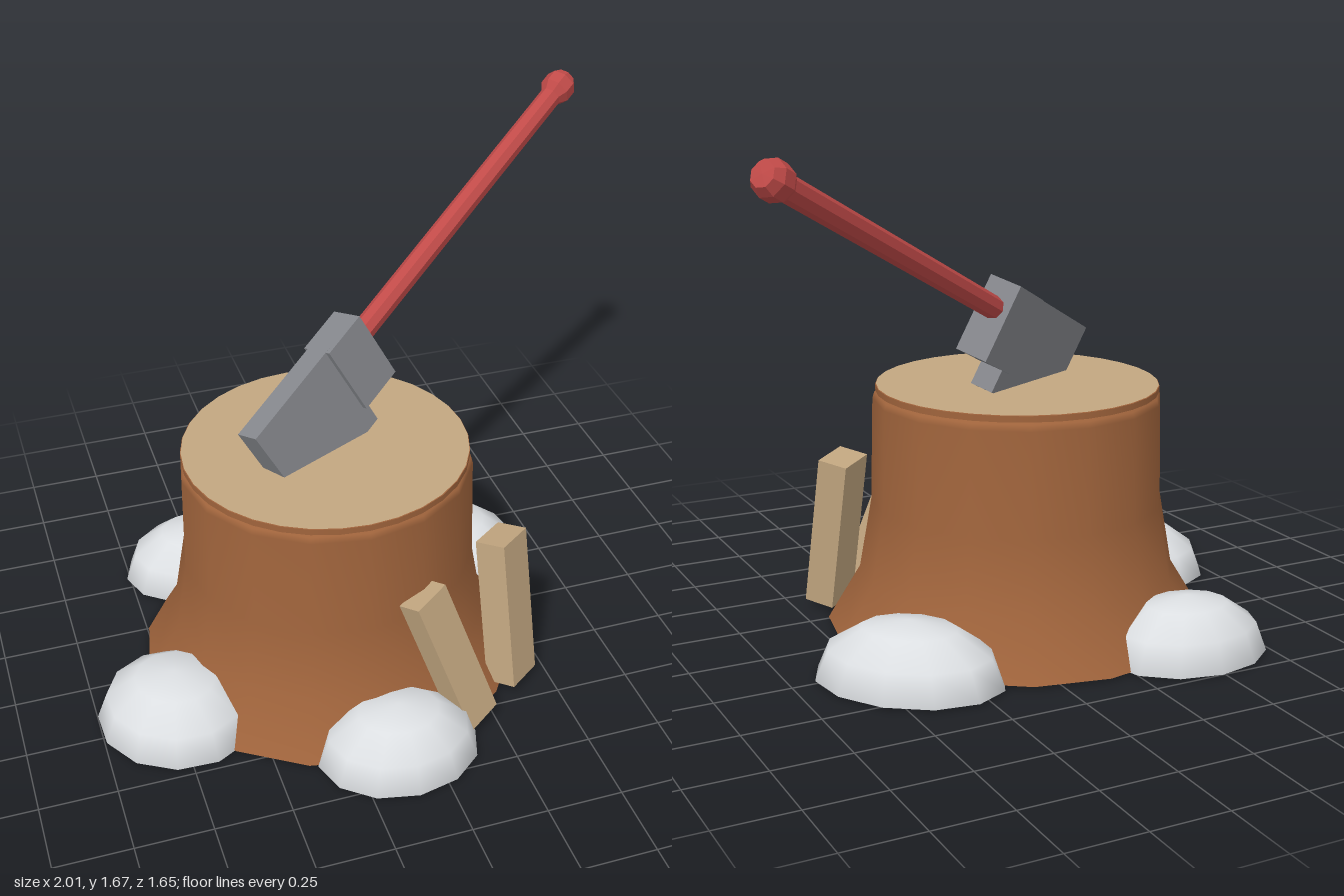
import * as THREE from 'three';

const material = (name, color) => {
  const m = new THREE.MeshStandardMaterial({ color });
  m.name = name;
  return m;
};

// Facet a geometry by giving every face its own normals
const faceted = (geometry) => {
  const g = geometry.toNonIndexed();
  g.computeVertexNormals();
  return g;
};

const profile = (points) => points.map(([r, y]) => new THREE.Vector2(r, y));

export function createModel() {
  const model = new THREE.Group();
  model.name = 'choppingStump';

  const bark = material('bark brown', 0xa0643c);
  const wood = material('cut wood tan', 0xc2a680);
  const stone = material('stone white', 0xdcdfe2);
  const steel = material('steel grey', 0x85878c);
  const red = material('handle red', 0xc04a48);

  const add = (parent, name, geometry, mat, x = 0, y = 0, z = 0) => {
    const mesh = new THREE.Mesh(geometry, mat);
    mesh.name = name;
    mesh.position.set(x, y, z);
    parent.add(mesh);
    return mesh;
  };

  // Stump: flared trunk, underside, thin rim and cut top
  const stump = new THREE.Group();
  stump.name = 'stump';
  stump.position.x = -0.155;
  model.add(stump);
  const trunk = [[0.638, 0.022], [0.53, 0.2], [0.488, 0.44], [0.48, 0.785], [0.474, 0.805], [0.45, 0.822]];
  add(stump, 'trunk', new THREE.LatheGeometry(profile(trunk), 16), bark);
  add(stump, 'underside', new THREE.CircleGeometry(0.638, 16).rotateX(Math.PI / 2), bark, 0, 0.022);
  add(stump, 'rim', new THREE.CylinderGeometry(0.47, 0.47, 0.02, 32), bark, 0, 0.823);
  add(stump, 'cutTop', new THREE.CircleGeometry(0.468, 32).rotateX(-Math.PI / 2), wood, 0, 0.835);

  // Half-buried stones: x, z, half length, half width, turn
  const dome = new THREE.SphereGeometry(1, 12, 3, 0, Math.PI * 2, 0, Math.PI / 2);
  const base = new THREE.CircleGeometry(1, 12).rotateX(Math.PI / 2);
  const stones = [
    [-0.485, -0.545, 0.278, 0.217, 0],
    [0.4, -0.352, 0.31, 0.233, -Math.PI / 4],
    [-0.745, 0.225, 0.27, 0.25, -Math.PI / 4],
    [-0.105, 0.6, 0.268, 0.22, 0],
  ];
  for (const [x, z, a, b, turn] of stones) {
    const rock = new THREE.Group();
    rock.name = 'stone';
    add(rock, 'stoneDome', dome, stone);
    add(rock, 'stoneBase', base, stone);
    rock.position.set(x, 0.02, z);
    rock.rotation.y = turn;
    rock.scale.set(a, 0.193, b);
    model.add(rock);
  }

  // Split logs leaning on the stump: top centre, bottom centre, side direction, width, depth
  const logs = [
    [[0.015, 0.525, 0.475], [0.18, 0.04, 0.55], [0.87, 0, -0.45], 0.135, 0.085],
    [[0.35, 0.56, 0.3], [0.372, 0.04, 0.395], [0.77, 0, -0.64], 0.15, 0.105],
  ];
  for (const [top, bottom, side, width, depth] of logs) {
    const t = new THREE.Vector3(...top);
    const b = new THREE.Vector3(...bottom);
    const up = t.clone().sub(b);
    const length = up.length();
    up.normalize();
    const across = new THREE.Vector3(...side);
    across.addScaledVector(up, -across.dot(up)).normalize();
    const out = across.clone().cross(up);
    const log = add(model, 'splitLog', new THREE.BoxGeometry(width, length, depth), wood);
    log.quaternion.setFromRotationMatrix(new THREE.Matrix4().makeBasis(across, up, out));
    log.position.copy(t).add(b).multiplyScalar(0.5);
  }

  // Axe: local x runs from blade to handle end, z is its thickness
  const axe = new THREE.Group();
  axe.name = 'axe';
  const along = new THREE.Vector3(0.762, 0.41, -0.5).normalize();
  const upward = new THREE.Vector3(-along.y, along.x, 0).normalize();
  const sideways = along.clone().cross(upward);
  axe.quaternion.setFromRotationMatrix(new THREE.Matrix4().makeBasis(along, upward, sideways));
  model.add(axe);
  const mid = 0.134;
  add(axe, 'axeBlade', new THREE.BoxGeometry(0.395, 0.34, 0.086), steel, 0.2125, 0.907, mid);
  add(axe, 'axeHub', new THREE.BoxGeometry(0.167, 0.261, 0.12), steel, 0.4715, 0.946, mid);
  const shaft = new THREE.CylinderGeometry(0.038, 0.038, 1.24, 8).rotateZ(-Math.PI / 2);
  add(axe, 'axeHandle', faceted(shaft), red, 1.14, 0.982, mid);
  const knob = [[0, -0.052], [0.038, -0.05], [0.056, -0.022], [0.056, 0.022], [0.038, 0.05], [0, 0.052]];
  const knobShape = new THREE.LatheGeometry(profile(knob), 8).rotateZ(-Math.PI / 2);
  add(axe, 'handleKnob', faceted(knobShape), red, 1.78, 0.982, mid);

  return model;
}
